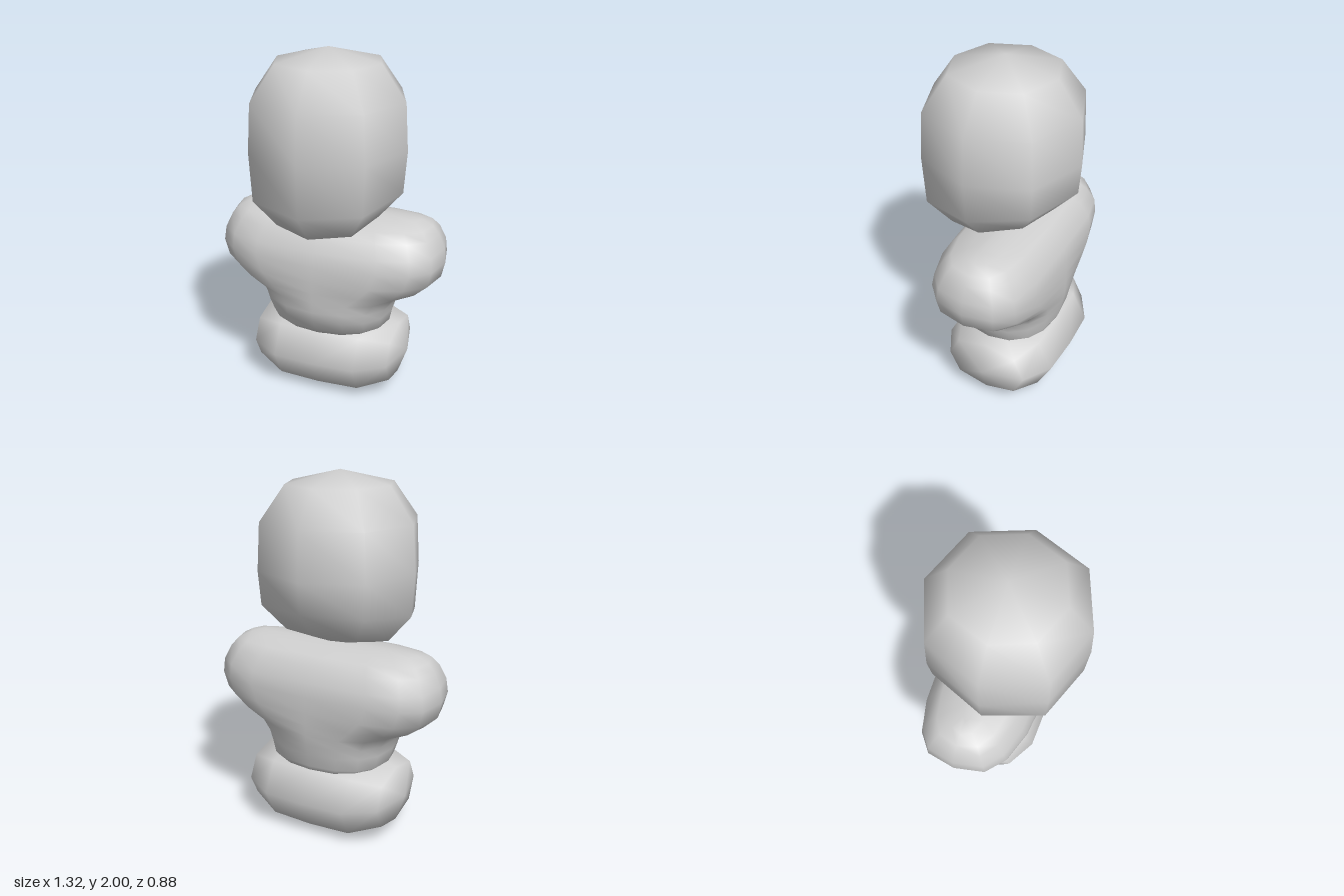
import * as THREE from 'three';

// Smooth closed skin: rings of points between two pole points
function loft(rings) {
  const n = rings[1].length, last = rings.length - 1;
  const pts = rings.flat(), index = [];
  const id = (i, j) => (i === 0 ? 0 : i === last ? pts.length - 1 : 1 + (i - 1) * n + (j % n));
  for (let i = 0; i < last; i++) {
    for (let j = 0; j < n; j++) {
      if (i > 0) index.push(id(i, j), id(i, j + 1), id(i + 1, j));
      if (i < last - 1) index.push(id(i, j + 1), id(i + 1, j + 1), id(i + 1, j));
    }
  }
  const geo = new THREE.BufferGeometry().setFromPoints(pts);
  geo.setIndex(index);
  geo.computeVertexNormals();
  return geo;
}

// Powers below 1 square off a round cross-section
const soft = (v, p) => Math.sign(v) * Math.abs(v) ** p;
const ring = (n, p, f) => Array.from({ length: n }, (_, j) => {
  const a = (j / n) * Math.PI * 2;
  return f(soft(Math.sin(a), p), soft(Math.cos(a), p));
});

// Upright sections: [y, x radius, z radius, z centre, power, forward slope, backward sweep of the sides]
function upright(sections, n) {
  return loft(sections.map(([y, rx, rz, zc, p, slope = 0, sweep = 0]) => {
    if (rx === 0) return [new THREE.Vector3(0, y, zc)];
    return ring(n, p, (s, c) => new THREE.Vector3(
      rx * s, y - slope * rz * c, zc + rz * c - sweep * s * s));
  }));
}

// Sideways sections, mirrored across x = 0: [x, low y, high y, z radius]
function sideways(half, n, zc, p) {
  const mirrored = half.filter((s) => s[0] > 0).reverse().map(([x, ...r]) => [-x, ...r]);
  return loft([...mirrored, ...half].map(([x, lo, hi, rz]) => {
    if (rz === 0) return [new THREE.Vector3(x, lo, zc)];
    return ring(n, p, (s, c) => new THREE.Vector3(
      x, (lo + hi) / 2 - ((hi - lo) / 2) * s, zc + rz * c));
  }));
}

export function createModel() {
  const model = new THREE.Group();
  const grey = new THREE.MeshStandardMaterial({ color: 0xcfcfcf });
  grey.name = 'grey';
  const add = (name, geo) => {
    const mesh = new THREE.Mesh(geo, grey);
    mesh.name = name;
    model.add(mesh);
  };

  // Eight-sided head with the jaw dropping towards the front
  add('head', upright([
    [1.03, 0, 0, 0],
    [1.098, 0.3, 0.3, 0, 0.93, 0.23],
    [1.25, 0.43, 0.43, 0, 0.93, 0.14],
    [1.48, 0.447, 0.442, 0, 0.93],
    [1.74, 0.43, 0.43, 0, 0.93],
    [1.93, 0.295, 0.295, 0, 0.93],
    [2.0, 0, 0, 0],
  ], 8));

  // Trunk flaring into stubby arms and broad shoulders in one skin
  add('torsoAndArms', upright([
    [0.385, 0, 0, -0.09],
    [0.395, 0.31, 0.255, -0.085, 0.85],
    [0.425, 0.352, 0.272, -0.08, 0.85],
    [0.5, 0.37, 0.302, -0.065, 0.85],
    [0.56, 0.388, 0.314, -0.066, 0.86],
    [0.62, 0.43, 0.319, -0.068, 0.86, 0, 0.01],
    [0.68, 0.565, 0.32, -0.068, 0.83, 0, 0.02],
    [0.75, 0.64, 0.32, -0.068, 0.73, 0, 0.025],
    [0.84, 0.66, 0.316, -0.069, 0.66, 0, 0.025],
    [0.92, 0.65, 0.298, -0.072, 0.64, 0, 0.025],
    [1.0, 0.617, 0.25, -0.074, 0.65, 0, 0.022],
    [1.045, 0.58, 0.205, -0.075, 0.66, 0, 0.02],
    [1.075, 0.52, 0.11, -0.085, 0.68, 0, 0.01],
    [1.086, 0.45, 0.04, -0.09, 0.68],
    [1.088, 0, 0, -0.09],
  ], 16));

  // Rounded hips
  add('hips', sideways([
    [0, 0.005, 0.455, 0.347],
    [0.24, 0.012, 0.45, 0.337],
    [0.41, 0.08, 0.405, 0.24],
    [0.465, 0.24, 0.24, 0],
  ], 8, -0.092, 0.85));

  return model;
}
